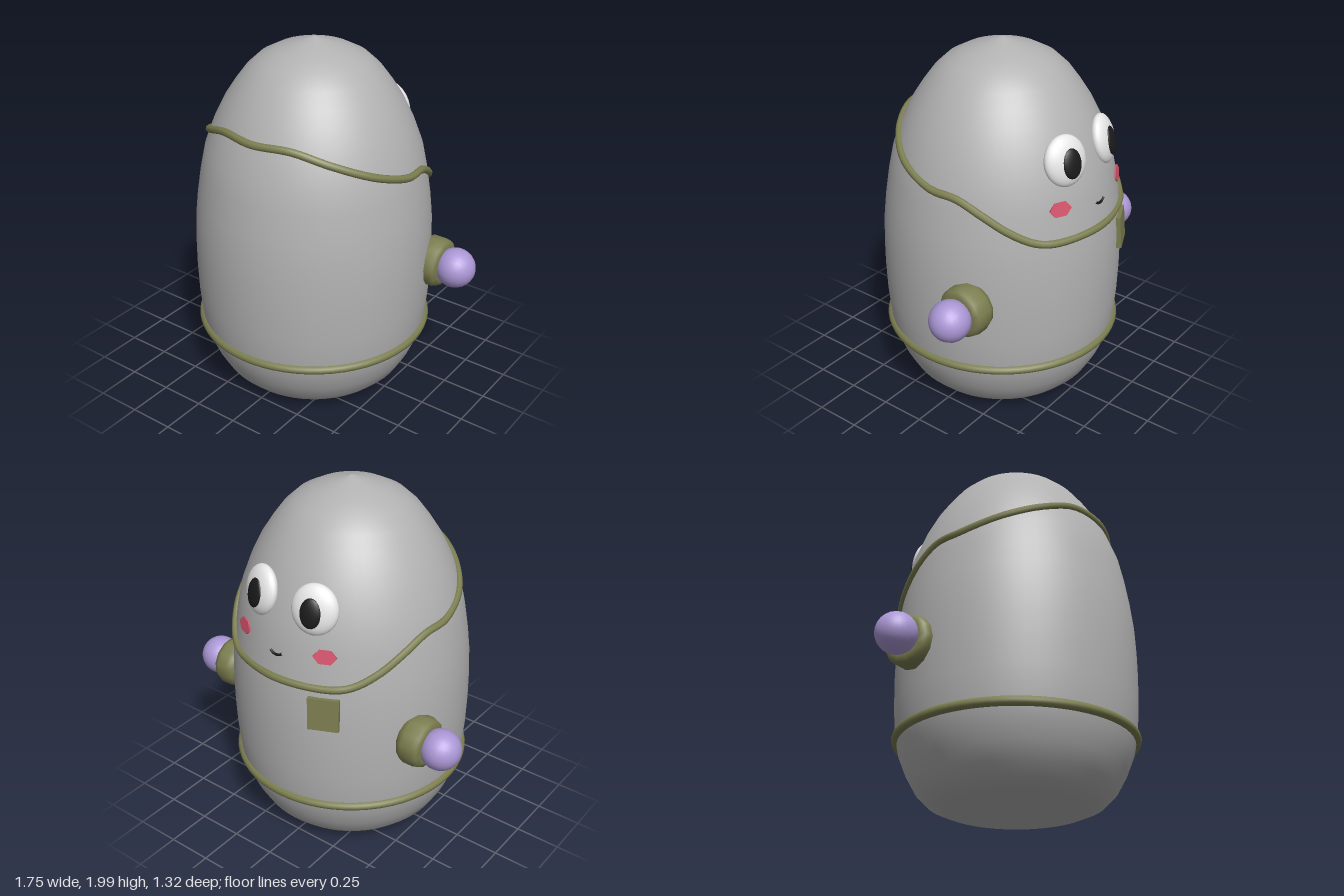
import * as THREE from 'three';

const mat = (name, color) => {
  const m = new THREE.MeshStandardMaterial({ color });
  m.name = name;
  return m;
};

export function createModel() {
  const grey = mat('bodyGrey', 0xb2b2b2);
  const olive = mat('olive', 0x7c7e50);
  const purple = mat('purple', 0xac98d6);
  const white = mat('eyeWhite', 0xeeeeee);
  const black = mat('black', 0x1a1a1a);
  const pink = mat('cheekPink', 0xd9566f);
  pink.side = THREE.DoubleSide;

  const model = new THREE.Group();
  model.name = 'character';
  const add = (name, geo, material, parent = model) => {
    const m = new THREE.Mesh(geo, material);
    m.name = name;
    parent.add(m);
    return m;
  };
  // Turn an object so its local +z points away from the body axis, leaning up by tilt
  const faceOut = (o, x, y, z, tilt) => {
    o.position.set(x, y, z);
    o.rotation.order = 'YXZ';
    o.rotation.set(-tilt, Math.atan2(x, z), 0);
    return o;
  };

  // Egg-shaped body
  const profile = [[0, 0.01], [0.3, 0.01], [0.4, 0.02], [0.47, 0.05], [0.53, 0.11], [0.58, 0.2],
    [0.62, 0.3], [0.64, 0.4], [0.652, 0.55], [0.657, 0.72], [0.656, 0.86], [0.65, 1.0], [0.635, 1.13],
    [0.611, 1.28], [0.583, 1.41], [0.53, 1.55], [0.475, 1.66], [0.42, 1.745], [0.36, 1.825],
    [0.29, 1.89], [0.2, 1.937], [0.1, 1.97], [0, 2]].map(p => new THREE.Vector2(...p));
  add('body', new THREE.LatheGeometry(profile, 64), grey);
  const radiusAt = y => {
    const i = profile.findIndex(p => p.y > y);
    const a = profile[i - 1], b = profile[i];
    return a.x + (b.x - a.x) * (y - a.y) / (b.y - a.y);
  };

  // Lower belt
  const belt = add('lowerBelt', new THREE.TorusGeometry(0.635, 0.025, 10, 64), olive);
  belt.rotation.x = Math.PI / 2;
  belt.position.y = 0.372;

  // Wavy hood band: [degrees from +z, height], mirrored across x
  const wave = [[0, 1.575], [24, 1.575], [45, 1.515], [68, 1.43], [90, 1.362], [105, 1.345],
    [119, 1.27], [130, 1.195], [142, 1.13], [152, 1.11], [180, 1.11]];
  const ring = wave.concat(wave.slice(1, -1).reverse().map(([a, y]) => [360 - a, y]));
  const bandPath = new THREE.CatmullRomCurve3(ring.map(([a, y]) => {
    const r = radiusAt(y) + 0.002, t = THREE.MathUtils.degToRad(a);
    return new THREE.Vector3(Math.sin(t) * r, y, Math.cos(t) * r);
  }), true);
  add('hoodBand', new THREE.TubeGeometry(bandPath, 120, 0.021, 8, true), olive);

  // Arms: rounded cuff and ball hand
  const cuffProfile = [[0.1, 0], [0.128, 0.02], [0.139, 0.05], [0.139, 0.11], [0.128, 0.137], [0.1, 0.15], [0, 0.15]]
    .map(p => new THREE.Vector2(...p));
  for (const s of [1, -1]) {
    const arm = new THREE.Group();
    arm.name = s > 0 ? 'leftArm' : 'rightArm';
    arm.position.set(s * 0.555, 0.77, -0.255);
    arm.rotation.z = -s * Math.PI / 2;
    model.add(arm);
    add('cuff', new THREE.LatheGeometry(cuffProfile, 13), olive, arm);
    add('hand', new THREE.SphereGeometry(0.11, 24, 16), purple, arm).position.y = 0.21;
  }

  // Eyes and cheeks
  for (const s of [1, -1]) {
    const side = s > 0 ? 'left' : 'right';
    const eye = new THREE.Group();
    eye.name = side + 'Eye';
    model.add(faceOut(eye, s * 0.172, 1.508, -0.52, 0.24));
    add('eyeball', new THREE.SphereGeometry(1, 28, 18), white, eye).scale.set(0.124, 0.133, 0.055);
    const pupil = add('pupil', new THREE.SphereGeometry(1, 24, 14), black, eye);
    pupil.scale.set(0.056, 0.078, 0.02);
    pupil.position.set(s * 0.008, -0.012, 0.046);
    const cheek = add(side + 'Cheek', new THREE.CylinderGeometry(1, 1, 0.009, 6).rotateX(Math.PI / 2).rotateZ(Math.PI / 2), pink);
    faceOut(cheek, s * 0.262, 1.287, -0.563, 0.18);
    cheek.scale.set(0.063, 0.042, 1);
  }

  // Smile
  const smilePath = new THREE.QuadraticBezierCurve3(
    new THREE.Vector3(-0.038, 1.254, -0.624), new THREE.Vector3(0, 1.226, -0.632), new THREE.Vector3(0.038, 1.254, -0.624));
  add('smile', new THREE.TubeGeometry(smilePath, 12, 0.007, 6), black);

  // Square chest badge, set off-centre below the band
  faceOut(add('badge', new THREE.BoxGeometry(0.165, 0.18, 0.035), olive), -0.272, 0.97, -0.593, 0.08);

  return model;
}
